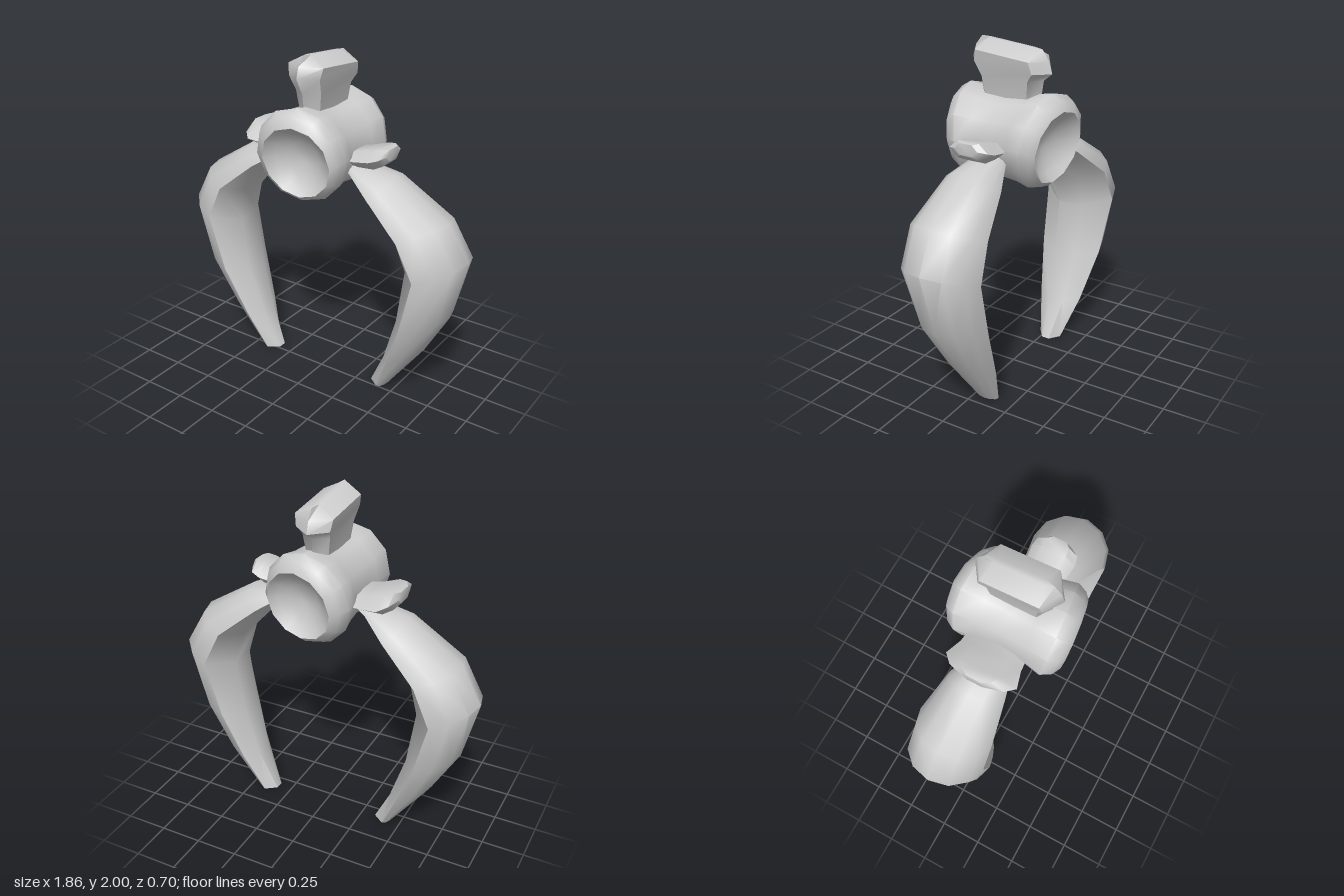
import * as THREE from 'three';
import { toCreasedNormals } from 'three/addons/utils/BufferGeometryUtils.js';

// Closed solid through a list of equally sized rings of [x, y, z] points, fan-capped at both ends.
function loft(rings, crease) {
  const n = rings[0].length;
  const points = rings.flat();
  const index = [];
  for (let r = 0; r < rings.length - 1; r++) {
    for (let i = 0; i < n; i++) {
      const a = r * n + i, b = r * n + (i + 1) % n;
      index.push(a, b, b + n, a, b + n, a + n);
    }
  }
  [0, rings.length - 1].forEach((r, end) => {
    const c = points.length;
    points.push([0, 1, 2].map(k => rings[r].reduce((s, p) => s + p[k], 0) / n));
    for (let i = 0; i < n; i++) {
      const a = r * n + i, b = r * n + (i + 1) % n;
      if (end) index.push(a, b, c); else index.push(b, a, c);
    }
  });
  // Turn the faces outward if the solid came out inverted
  const v = points.map(p => new THREE.Vector3(...p));
  let volume = 0;
  for (let i = 0; i < index.length; i += 3) {
    volume += v[index[i]].dot(v[index[i + 1]].clone().cross(v[index[i + 2]]));
  }
  if (volume < 0) index.reverse();
  const g = new THREE.BufferGeometry().setFromPoints(v);
  g.setIndex(index);
  return toCreasedNormals(g, crease);
}

// Drum along z with flared, dished ends; the dish sits off-centre so its rim is wider above
function bodyGeometry() {
  // radius, z, dish offset
  const half = [[0.03, 0.215, 1], [0.1, 0.235, 1], [0.16, 0.27, 1], [0.205, 0.315, 1],
    [0.245, 0.285, 0.3], [0.272, 0.232, 0], [0.25, 0.13, 0], [0.238, 0, 0]];
  const profile = [...half, ...half.slice(0, -1).reverse().map(([r, z, d]) => [r, -z, d])];
  const sides = 12;
  return loft(profile.map(([r, z, d]) => Array.from({ length: sides }, (_, i) => {
    const a = (i / sides) * Math.PI * 2 + Math.PI / 2;
    const x = r * Math.cos(a) + d * 0.02, y = r * Math.sin(a) - d * 0.02;
    return [x * 0.98 + 0.025, y + 1.47, z * (1 + 0.5 * y) * (1 - 0.42 * x)];
  })), 0.8);
}

// Curved leg: rounded outside, sharp front and back edges, shallow ridge inside
function legGeometry(side) {
  // outer x,y, edge x,y, inner x,y, front z, back z, z shift of the right leg
  const stations = [
    [0.16, 1.43, 0.18, 1.40, 0.20, 1.36, 0.07, -0.07, 0],
    [0.27, 1.415, 0.26, 1.37, 0.27, 1.335, 0.11, -0.11, 0],
    [0.49, 1.38, 0.40, 1.28, 0.38, 1.235, 0.17, -0.17, -0.03],
    [0.81, 1.18, 0.62, 1.10, 0.54, 1.06, 0.22, -0.23, -0.045],
    [0.93, 0.97, 0.72, 0.89, 0.595, 0.86, 0.21, -0.25, -0.04],
    [0.84, 0.61, 0.63, 0.55, 0.54, 0.52, 0.17, -0.235, -0.02],
    [0.68, 0.33, 0.51, 0.25, 0.44, 0.22, 0.085, -0.2, 0.01],
    [0.44, 0, 0.40, 0, 0.335, 0, 0, -0.145, 0.035],
  ];
  const arc = 6;
  return loft(stations.map(([ox, oy, ex, ey, ix, iy, zf, zb, shift]) => {
    const mid = (zf + zb) / 2 + (side < 0 ? shift : 0), w = (zf - zb) / 2;
    const ring = [];
    for (let i = 0; i <= arc; i++) {
      const a = (i / arc - 0.5) * Math.PI, c = Math.cos(a);
      ring.push([side * (ex + (ox - ex) * c), ey + (oy - ey) * c, mid + w * Math.sin(a)]);
    }
    ring.push([side * ix, iy, mid + w * 0.35], [side * ix, iy, mid - w * 0.35]);
    return ring;
  }), 0.87);
}

// Crest widening upward to a ridge
function crestGeometry() {
  // y, half width, half length
  const levels = [
    [1.64, 0.06, 0.175], [1.80, 0.082, 0.2], [1.865, 0.1, 0.25],
    [1.93, 0.112, 0.23], [1.985, 0.015, 0.19],
  ];
  return loft(levels.map(([y, w, l]) =>
    [[0, 1], [1, 0.72], [1, -0.72], [0, -1], [-1, -0.72], [-1, 0.72]].map(([x, z]) =>
      [0.015 + x * w, y + (y > 1.85 ? z * l * 0.1 : 0), z * l])), 0.75);
}

// Flat six-sided fin pointing sideways
function finGeometry(side) {
  // x, bottom y, top y, half width of the left and of the right fin
  const stations = [
    [0.18, 1.42, 1.48, 0.11, 0.17], [0.29, 1.41, 1.50, 0.12, 0.18],
    [0.39, 1.42, 1.53, 0.132, 0.21], [0.44, 1.445, 1.54, 0.12, 0.16],
    [0.465, 1.47, 1.535, 0.07, 0.08],
  ];
  return loft(stations.map(([x, lo, hi, wl, wr]) => {
    const m = (lo + hi) / 2, w = side > 0 ? wl : wr;
    return [[1, m], [0.55, hi], [-0.55, hi], [-1, m], [-0.55, lo], [0.55, lo]].map(([z, y]) =>
      [side > 0 ? x : -x + 0.02, y, z * w + (side > 0 ? 0.005 : -0.015)]);
  }), 0.75);
}

export function createModel() {
  const group = new THREE.Group();
  const grey = new THREE.MeshStandardMaterial({ color: 0xcccccc });
  grey.name = 'light grey';
  const add = (name, geometry) => {
    const mesh = new THREE.Mesh(geometry, grey);
    mesh.name = name;
    group.add(mesh);
  };
  add('body', bodyGeometry());
  add('crest', crestGeometry());
  for (const [name, side] of [['left', 1], ['right', -1]]) {
    add(name + 'Leg', legGeometry(side));
    add(name + 'Fin', finGeometry(side));
  }
  return group;
}
